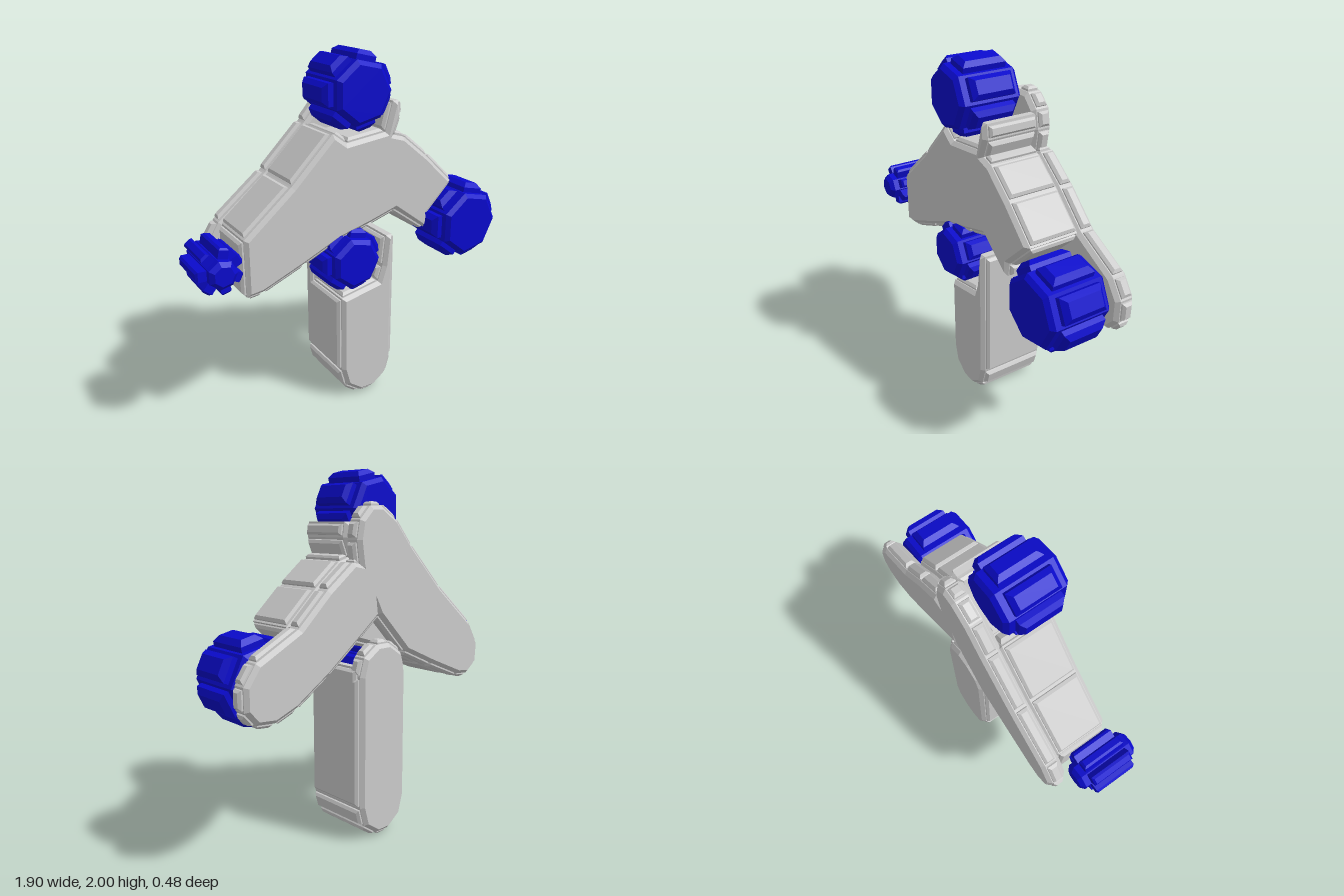
import * as THREE from 'three';

const grey = new THREE.MeshStandardMaterial({ color: 0xcccccc, flatShading: true });
const blue = new THREE.MeshStandardMaterial({ color: 0x0a0acc, flatShading: true });

// Extrusion from z0 to z1 with chamfers that stay inside the outline
function chamfered(points, z0, z1, bevel) {
  const shape = new THREE.Shape(points.map(([x, y]) => new THREE.Vector2(x, y)));
  const geo = new THREE.ExtrudeGeometry(shape, {
    depth: z1 - z0 - 2 * bevel, bevelEnabled: true, bevelSegments: 1,
    bevelThickness: bevel, bevelSize: bevel, bevelOffset: -bevel,
  });
  return geo.translate(0, 0, z0 + bevel);
}

// Block with a raised, chamfered panel on every edge of its anticlockwise outline
function panelBlock(name, points, z0, z1, { bevel = 0.02, raise = 0.022, insetZ = 0.025, gap = 0.012, mat = grey } = {}) {
  const group = new THREE.Group();
  group.name = name;
  const core = new THREE.Mesh(chamfered(points, z0, z1, bevel), mat);
  core.name = name + 'Core';
  group.add(core);
  points.forEach(([ax, ay], i) => {
    const [bx, by] = points[(i + 1) % points.length];
    const len = Math.hypot(bx - ax, by - ay);
    if (len < 0.05) return;
    const w = len / 2 - gap, d = (z1 - z0) / 2 - insetZ;
    const chamfer = Math.min(raise * 0.6, w * 0.4);
    const geo = chamfered([[-w, -d], [w, -d], [w, d], [-w, d]], -raise - 0.005, raise, chamfer);
    const along = new THREE.Vector3((bx - ax) / len, (by - ay) / len, 0);
    const out = new THREE.Vector3(along.y, -along.x, 0);
    geo.applyMatrix4(new THREE.Matrix4()
      .makeBasis(along, new THREE.Vector3(0, 0, 1), out)
      .setPosition((ax + bx) / 2, (ay + by) / 2, (z0 + z1) / 2));
    const panel = new THREE.Mesh(geo, mat);
    panel.name = name + 'Panel';
    group.add(panel);
  });
  return group;
}

// Seven-sided wheel with one tooth per side, one tooth pointing to -x
function gear(name, x, y, apothem, tooth) {
  const n = 7, r = apothem / Math.cos(Math.PI / n);
  const points = Array.from({ length: n }, (_, i) => {
    const a = Math.PI + (i + 0.5) * 2 * Math.PI / n;
    return [r * Math.cos(a), r * Math.sin(a)];
  });
  const g = panelBlock(name, points, -0.115, 0.24,
    { bevel: 0.022, raise: tooth, insetZ: 0.055, gap: apothem * 0.1, mat: blue });
  g.position.set(x, y, 0);
  return g;
}

export function createModel() {
  const model = new THREE.Group();
  model.name = 'linkedArms';
  const back = -0.24, step = -0.13, front = 0.175;

  // Upright leg: full-height back plate and a notched body
  const legFoot = [[-0.13, 0.2], [-0.1, 0.09], [-0.01, 0.025], [0.08, 0.025], [0.17, 0.09], [0.2, 0.2]];
  model.add(panelBlock('legPlate', [...legFoot,
    [0.2, 0.93], [0.17, 1.03], [0.08, 1.09], [-0.01, 1.09], [-0.1, 1.03], [-0.13, 0.93]], back, step));
  model.add(panelBlock('legBody', [...legFoot,
    [0.2, 0.98], [0.16, 0.98], [0.14, 0.8], [0.11, 0.71], [-0.13, 0.66]], -0.225, front));

  // Long curved back plate
  model.add(panelBlock('longArmPlate', [
    [-0.69, 0.82], [-0.6, 0.83], [-0.36, 0.93], [-0.14, 1.03], [0.07, 1.25], [0.2, 1.5],
    [0.22, 1.64], [0.2, 1.74], [0.13, 1.81], [0.05, 1.81], [-0.06, 1.74], [-0.18, 1.6],
    [-0.42, 1.36], [-0.7, 1.13], [-0.78, 1.0], [-0.77, 0.88]], back, step));

  // Short back plate branching to the other side
  model.add(panelBlock('shortArmPlate', [
    [0.07, 1.25], [0.21, 1.14], [0.42, 0.98], [0.62, 0.85], [0.75, 0.8], [0.86, 0.81],
    [0.92, 0.88], [0.92, 1.0], [0.85, 1.1], [0.6, 1.23], [0.42, 1.4], [0.25, 1.53], [0.1, 1.5]],
  back, step));

  // Thick boomerang body, cut away where the gears sit
  model.add(panelBlock('armBody', [
    [-0.69, 0.82], [-0.6, 0.83], [-0.36, 0.93], [-0.14, 1.03], [0.05, 1.08], [0.21, 1.13],
    [0.42, 0.98], [0.43, 1.06], [0.6, 1.23], [0.42, 1.4], [0.26, 1.53], [0.19, 1.55],
    [0.23, 1.65], [0.22, 1.73], [0.185, 1.73], [0.14, 1.57], [-0.1, 1.54], [-0.18, 1.6],
    [-0.42, 1.36], [-0.69, 1.13]], -0.145, front));

  // Gears
  model.add(gear('topGear', -0.04, 1.8, 0.152, 0.052));
  model.add(gear('leftGear', 0.71, 0.965, 0.175, 0.055));
  model.add(gear('middleGear', -0.075, 0.89, 0.132, 0.048));
  model.add(gear('smallGear', -0.83, 1.005, 0.07, 0.055));
  return model;
}
